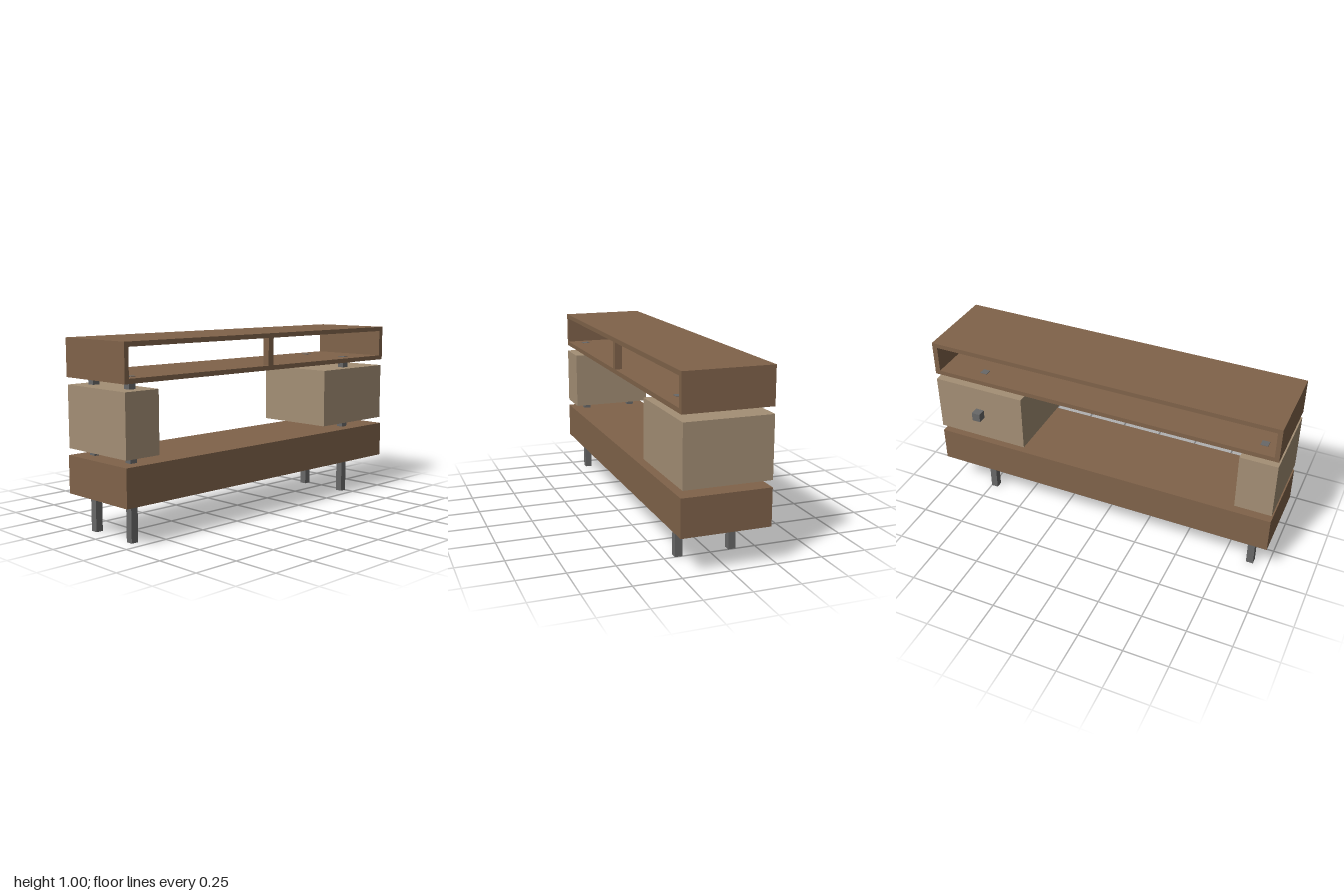
import * as THREE from 'three';

export function createModel() {
  const model = new THREE.Group();
  model.name = 'sideboard';

  const mat = (name, color) => {
    const m = new THREE.MeshStandardMaterial({ color });
    m.name = name;
    return m;
  };
  const wood = mat('brown wood', 0x80634a);
  const beige = mat('beige panel', 0xa48f75);
  const metal = mat('grey metal', 0x686868);

  // Box given by its extents on each axis
  const box = (name, material, [x0, x1], [y0, y1], [z0, z1], parent = model) => {
    const mesh = new THREE.Mesh(new THREE.BoxGeometry(x1 - x0, y1 - y0, z1 - z0), material);
    mesh.position.set((x0 + x1) / 2, (y0 + y1) / 2, (z0 + z1) / 2);
    mesh.name = name;
    parent.add(mesh);
  };

  const depth = [-0.213, 0.262];

  // Closed lower body
  box('lowerBody', wood, depth, [0.2, 0.4], [-1, 1]);

  // Upper shelf: a rectangular tube open on both long sides
  const outline = new THREE.Shape([[-1, 0.8], [1, 0.8], [1, 1], [-1, 1]].map((p) => new THREE.Vector2(...p)));
  outline.holes.push(new THREE.Path(
    [[-0.975, 0.825], [-0.975, 0.975], [0.97, 0.975], [0.97, 0.825]].map((p) => new THREE.Vector2(...p))));
  const frame = new THREE.ExtrudeGeometry(outline, { depth: depth[1] - depth[0], bevelEnabled: false });
  frame.rotateY(Math.PI / 2); // shape x becomes -z
  frame.translate(depth[0], 0, 0);
  const shelf = new THREE.Mesh(frame, wood);
  shelf.name = 'upperShelf';
  model.add(shelf);

  // Short centre post at one opening
  box('shelfPost', wood, [0.222, 0.262], [0.825, 0.975], [-0.018, 0.021]);

  // Small and large cabinets, slightly offset in depth
  box('smallCabinet', beige, [-0.205, 0.262], [0.437, 0.763], [0.795, 1]);
  box('largeCabinet', beige, [-0.213, 0.254], [0.437, 0.763], [-1, -0.46]);
  box('cabinetKnob', metal, [-0.262, -0.213], [0.575, 0.625], [-0.755, -0.706]);

  // Four square legs running up through the shelf floor
  const legs = new THREE.Group();
  legs.name = 'legs';
  model.add(legs);
  for (const x of [-0.121, 0.171]) {
    for (const z of [-0.73, 0.9]) {
      box('leg', metal, [x - 0.02, x + 0.02], [0, 0.827], [z - 0.02, z + 0.02], legs);
    }
  }
  return model;
}
